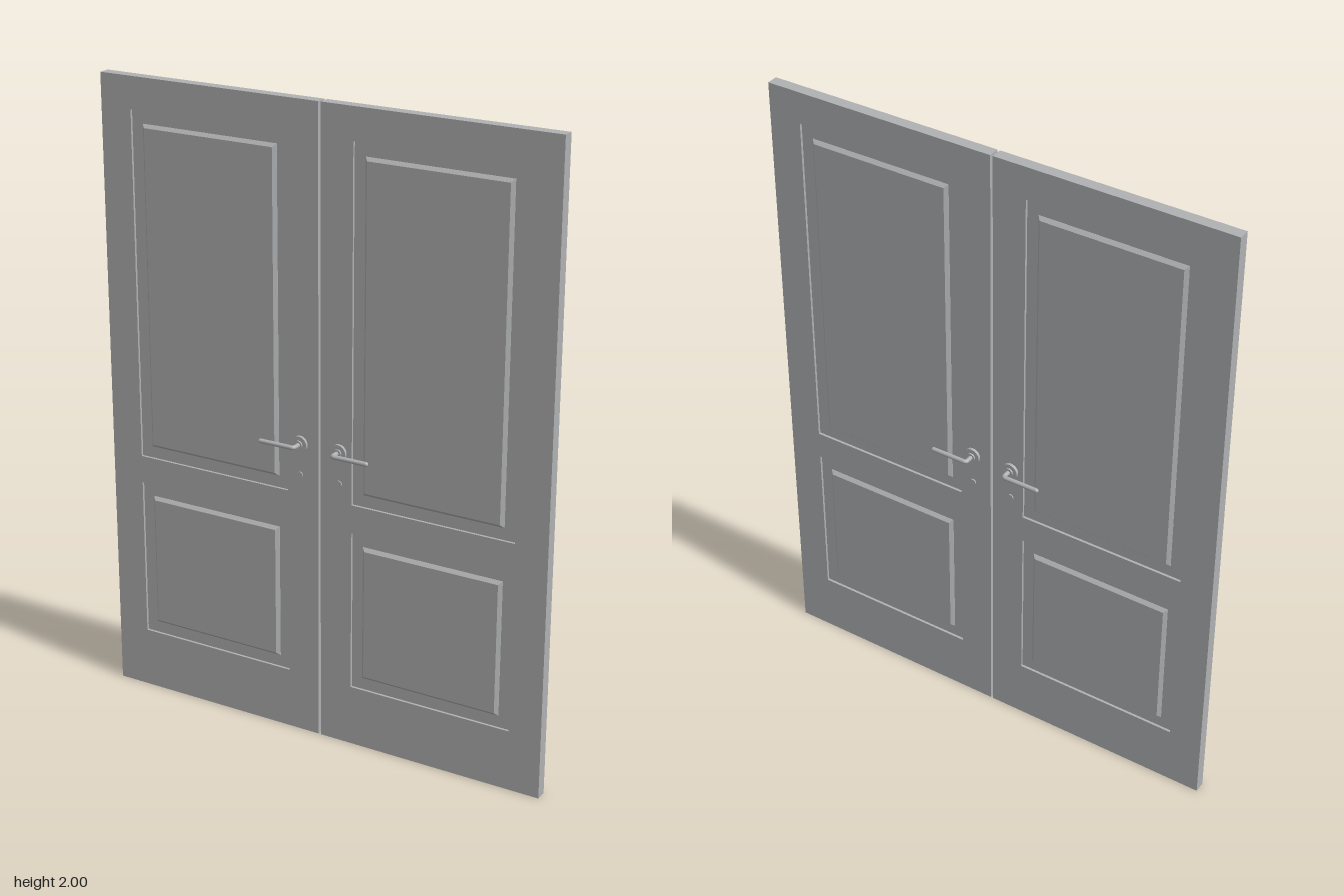
import * as THREE from 'three';

export function createModel() {
  const model = new THREE.Group();
  model.name = 'doubleDoor';
  const grey = new THREE.MeshStandardMaterial({ color: 0xb0b1b2 });
  grey.name = 'grey';

  const half = 0.018; // half thickness of a leaf
  const inner = 0.11, outer = 0.648; // edges of the panel openings
  const handleX = 0.067, handleY = 0.96;

  const add = (parent, name, geometry) => {
    const mesh = new THREE.Mesh(geometry, grey);
    mesh.name = name;
    parent.add(mesh);
    return mesh;
  };

  // Flat board between two corners, centred in z
  const board = (parent, name, x0, x1, y0, y1, h) =>
    add(parent, name, new THREE.BoxGeometry(x1 - x0, y1 - y0, 2 * h))
      .position.set((x0 + x1) / 2, (y0 + y1) / 2, 0);

  // Raised field with bevelled edges on both faces
  const raisedField = (parent, x0, x1, y0, y1) => {
    const b = 0.01, h = 0.021;
    const shape = new THREE.Shape();
    shape.moveTo(x0, y0);
    shape.lineTo(x1, y0);
    shape.lineTo(x1, y1);
    shape.lineTo(x0, y1);
    shape.closePath();
    const geometry = new THREE.ExtrudeGeometry(shape, {
      depth: 2 * (h - b), bevelEnabled: true, bevelThickness: b,
      bevelSize: b, bevelOffset: -b, bevelSegments: 1,
    });
    geometry.translate(0, 0, -(h - b));
    add(parent, 'raisedField', geometry);
  };

  // Cylinder along z between two depths
  const disc = (parent, name, r, y, z0, z1) => {
    const mesh = add(parent, name, new THREE.CylinderGeometry(r, r, z1 - z0, 32));
    mesh.rotation.x = Math.PI / 2;
    mesh.position.set(handleX, y, (z0 + z1) / 2);
  };

  // Handle set for one face
  const handleSet = () => {
    const g = new THREE.Group();
    g.name = 'handleSet';
    disc(g, 'rosette', 0.026, handleY, half, 0.027);
    disc(g, 'collar', 0.013, handleY, 0.027, 0.032);
    disc(g, 'keyhole', 0.01, 0.86, half, 0.022);

    // Lever bends from the spindle towards the hinge side
    const zl = 0.058, r = 0.007, bend = 0.008, tip = 0.181;
    const v = (x, z) => new THREE.Vector3(x, handleY, z);
    const path = new THREE.CurvePath();
    path.add(new THREE.LineCurve3(v(handleX - 0.001, 0.03), v(handleX - 0.001, zl - bend)));
    path.add(new THREE.QuadraticBezierCurve3(
      v(handleX - 0.001, zl - bend), v(handleX - 0.001, zl), v(handleX + bend, zl)));
    path.add(new THREE.LineCurve3(v(handleX + bend, zl), v(tip, zl)));
    add(g, 'lever', new THREE.TubeGeometry(path, 48, r, 16, false));
    add(g, 'leverTip', new THREE.SphereGeometry(r, 16, 12)).position.copy(v(tip, zl));
    return g;
  };

  // One leaf on the +x side
  const leaf = () => {
    const g = new THREE.Group();
    board(g, 'meetingStile', 0.004, inner, 0, 2, half);
    board(g, 'hingeStile', outer, 0.753, 0, 2, half);
    const rails = [['bottomRail', 0, 0.195], ['middleRail', 0.71, 0.8], ['topRail', 1.9, 2]];
    for (const [name, y0, y1] of rails) board(g, name, inner, outer, y0, y1, half);
    for (const [y0, y1] of [[0.195, 0.71], [0.8, 1.9]]) {
      board(g, 'panel', inner, outer, y0, y1, 0.01);
      raisedField(g, inner + 0.036, outer - 0.038, y0 + 0.038, y1 - 0.04);
    }
    g.add(handleSet());
    // Back handle: turned over about the spindle's horizontal line
    const back = new THREE.Group();
    back.name = 'backHandle';
    const set = handleSet();
    set.rotation.y = Math.PI;
    set.scale.x = -1;
    back.add(set);
    g.add(back);
    return g;
  };

  const leftLeaf = leaf();
  leftLeaf.name = 'leftLeaf';
  const rightLeaf = leaf();
  rightLeaf.name = 'rightLeaf';
  rightLeaf.rotation.y = Math.PI; // both faces match, so a half turn mirrors it
  model.add(leftLeaf, rightLeaf);
  return model;
}
